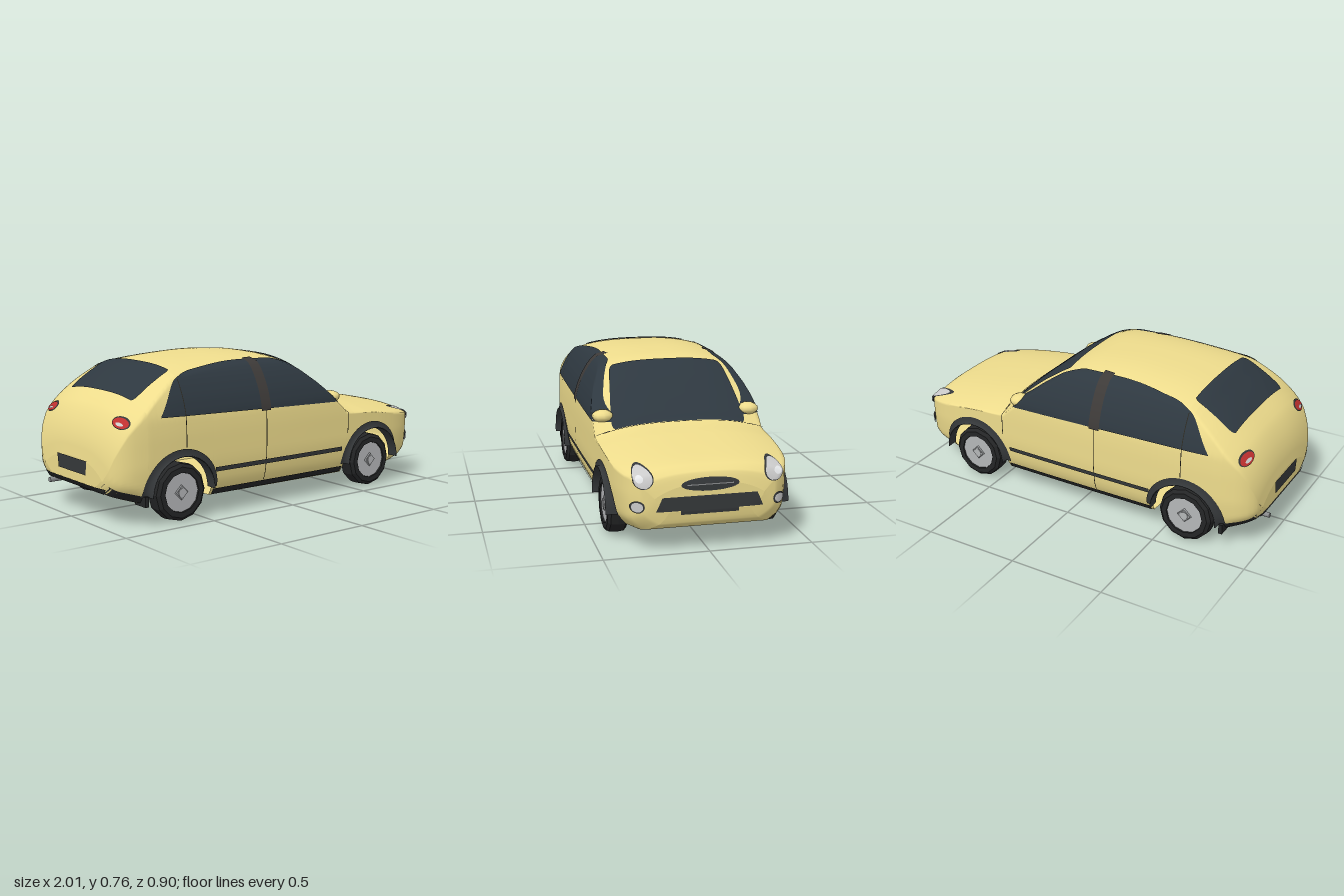
import * as THREE from 'three';

const PAINT = 0xeedc8c, GLASS = 0x2e3840, TRIM = 0x35383a, RUBBER = 0x242526, RIM = 0xb4b6b8, SEAM = 0x2a2820;
const lerp = THREE.MathUtils.lerp;

// Smooth curve through [x, y] points, without overshoot
function curve(pts) {
  const n = pts.length;
  const s = pts.slice(1).map((p, i) => (p[1] - pts[i][1]) / (p[0] - pts[i][0]));
  const m = pts.map((_, i) => i === 0 ? s[0] : i === n - 1 ? s[n - 2]
    : s[i - 1] * s[i] <= 0 ? 0 : 2 * s[i - 1] * s[i] / (s[i - 1] + s[i]));
  return (x) => {
    if (x <= pts[0][0]) return pts[0][1];
    if (x >= pts[n - 1][0]) return pts[n - 1][1];
    let i = 0;
    while (x > pts[i + 1][0]) i++;
    const h = pts[i + 1][0] - pts[i][0], t = (x - pts[i][0]) / h, t2 = t * t, t3 = t2 * t;
    return (2 * t3 - 3 * t2 + 1) * pts[i][1] + (t3 - 2 * t2 + t) * h * m[i]
      + (3 * t2 - 2 * t3) * pts[i + 1][1] + (t3 - t2) * h * m[i + 1];
  };
}

// Body shape along x: top line, underside, plan half-width, crown depth, tuck of the lower edge; tumblehome over y
const top = curve([[-0.985, 0.3], [-0.97, 0.4], [-0.95, 0.455], [-0.92, 0.515], [-0.82, 0.605], [-0.7, 0.685],
  [-0.6, 0.733], [-0.4, 0.756], [-0.2, 0.765], [0, 0.755], [0.1, 0.735], [0.2, 0.677], [0.3, 0.6], [0.4, 0.515],
  [0.44, 0.48], [0.6, 0.46], [0.8, 0.434], [0.9, 0.418], [0.96, 0.402], [0.985, 0.375], [0.997, 0.33]]);
const under = curve([[-0.985, 0.18], [-0.96, 0.15], [-0.9, 0.13], [-0.82, 0.11], [-0.6, 0.1], [0.7, 0.095],
  [0.9, 0.1], [0.96, 0.115], [0.985, 0.145], [0.997, 0.2]]);
const plan = curve([[-0.985, 0.28], [-0.975, 0.33], [-0.95, 0.37], [-0.9, 0.402], [-0.8, 0.424], [-0.6, 0.432],
  [0, 0.434], [0.5, 0.43], [0.7, 0.424], [0.82, 0.412], [0.9, 0.392], [0.95, 0.366], [0.98, 0.328], [0.997, 0.26]]);
const crown = curve([[-0.985, 0.08], [-0.9, 0.07], [-0.6, 0.04], [0, 0.035], [0.25, 0.05], [0.44, 0.055],
  [0.6, 0.05], [0.9, 0.045], [0.96, 0.04], [0.997, 0.06]]);
const tuck = curve([[-0.985, 0.25], [-0.9, 0.12], [-0.8, 0.03], [0.75, 0.03], [0.85, 0.1], [0.95, 0.15], [0.997, 0.25]]);
const tumble = curve([[0.09, 0.91], [0.14, 0.95], [0.2, 0.98], [0.3, 1], [0.4, 1], [0.5, 0.99], [0.57, 0.95],
  [0.63, 0.89], [0.69, 0.805], [0.73, 0.715], [0.765, 0.6]]);
const CROWN_POWER = 2.8;
const edgeY = (x) => top(x) - crown(x);
const edgeZ = (x) => plan(x) * tumble(edgeY(x));
const topY = (x, z) => top(x) - crown(x) * Math.pow(Math.min(1, Math.abs(z) / edgeZ(x)), CROWN_POWER);
const sideZ = (x, y) => {
  if (y > edgeY(x)) return edgeZ(x) * Math.pow(Math.max(0, (top(x) - y) / crown(x)), 1 / CROWN_POWER);
  const low = THREE.MathUtils.clamp(1 - (y - under(x)) / 0.075, 0, 1);
  return plan(x) * tumble(y) * (1 - tuck(x) * low * low);
};

// x of the nose (dir 1) or tail (dir -1) surface at a given y, z
function endX(y, z, dir) {
  let a = 0.7 * dir, b = dir > 0 ? 0.997 : -0.985;
  for (let i = 0; i < 24; i++) {
    const m = (a + b) / 2;
    if (y > under(m) && y < top(m) && Math.abs(z) < sideZ(m, y)) a = m; else b = m;
  }
  return a;
}

// Wheel openings
const AXLES = [-0.635, 0.62], AXLE_Y = 0.145, ARCH = 0.185;
const archY = (x) => Math.max(...AXLES.map((c) => Math.abs(x - c) < ARCH
  ? AXLE_Y + Math.sqrt(ARCH * ARCH - (x - c) ** 2) : 0));
const sillY = (x) => Math.max(under(x), archY(x));

const mat = (color) => new THREE.MeshStandardMaterial({ color, side: THREE.DoubleSide });

// Grid surface: fn(u, v) returns a point, u and v from 0 to 1
function sheet(name, color, nu, nv, fn) {
  const pos = [], idx = [];
  for (let i = 0; i <= nu; i++) for (let j = 0; j <= nv; j++) {
    pos.push(...fn(i / nu, j / nv));
    if (i < nu && j < nv) {
      const a = i * (nv + 1) + j, b = a + nv + 1;
      idx.push(a, b, a + 1, b, b + 1, a + 1);
    }
  }
  const g = new THREE.BufferGeometry();
  g.setAttribute('position', new THREE.Float32BufferAttribute(pos, 3));
  g.setIndex(idx);
  g.computeVertexNormals();
  return solid(name, color, g, 0, 0, 0);
}

function solid(name, color, geo, x, y, z) {
  const mesh = new THREE.Mesh(geo, mat(color));
  mesh.name = name;
  mesh.position.set(x, y, z);
  return mesh;
}

// Patches lying just off the body surface
const onSide = (name, color, s, x0, x1, lo, hi, off = 0.005, nu = 40, nv = 10) => sheet(name, color, nu, nv, (u, v) => {
  const x = lerp(x0, x1, u), y = lerp(lo(x), hi(x), v);
  return [x, y + 0.003, s * (sideZ(x, y) + off)];
});
const onTop = (name, color, x0, x1, w0, w1, round = 0.06) => sheet(name, color, 32, 24, (u, v) => {
  const x = lerp(x0, x1, u), z = lerp(-1, 1, v) * lerp(w0, w1, u) * (1 - round * Math.pow(Math.abs(2 * u - 1), 10));
  return [x + 0.002 * Math.sign(x), topY(x, z) + 0.005, z];
});
const onEnd = (name, color, dir, y0, y1, w0, w1, off = 0.005) => sheet(name, color, 24, 6, (u, v) => {
  const y = lerp(y0, y1, v), z = lerp(-1, 1, u) * lerp(w0, w1, v);
  return [endX(y, z, dir) + dir * off, y, z];
});
// Oval patch on nose or tail; tilt slants its long axis upward towards the car's centre
const ovalOnEnd = (name, color, dir, cy, cz, ry, rz, off = 0.005, tilt = 0) => sheet(name, color, 24, 6, (u, v) => {
  const a = u * Math.PI * 2, dz = Math.cos(a) * rz * v;
  const y = cy + Math.sin(a) * ry * v - dz * tilt * Math.sign(cz), z = cz + dz;
  return [endX(y, z, dir) + dir * off, y, z + Math.sign(cz) * off * 0.5];
});

// Painted shell with open wheel arches, floor and end caps
function bodyShell() {
  const g = new THREE.Group();
  g.name = 'body';
  const xs = [-0.985, -0.982, -0.978, -0.965, 0.985, 0.99, 0.994, 0.997];
  for (let i = 0; i <= 64; i++) xs.push(lerp(-0.975, 0.98, i / 64));
  for (const c of AXLES) {
    for (let i = 0; i <= 20; i++) xs.push(c + ARCH * 0.9999 * Math.cos(i * Math.PI / 20));
    xs.push(c - ARCH - 0.0005, c + ARCH + 0.0005);
  }
  xs.sort((a, b) => a - b);
  const n = xs.length - 1, at = (u) => xs[Math.round(u * n)];
  const section = (x, v) => {
    const t = v * 2 - 1, s = Math.sign(t), k = Math.abs(t);
    if (k > 0.5) {
      const y = lerp(edgeY(x), sillY(x), (k - 0.5) * 2);
      return [x, y, s * sideZ(x, y)];
    }
    const z = s * k * 2 * edgeZ(x);
    return [x, topY(x, z), z];
  };
  g.add(sheet('shell', PAINT, n, 80, (u, v) => section(at(u), v)));
  g.add(sheet('floor', PAINT, n, 2, (u, v) => {
    const x = at(u), y = under(x);
    return [x, y, (v * 2 - 1) * (archY(x) > 0 ? 0.3 : sideZ(x, y))];
  }));
  for (const [name, x] of [['tailPanel', -0.985], ['nosePanel', 0.997]]) {
    const mid = (top(x) + under(x)) / 2;
    g.add(sheet(name, PAINT, 81, 1, (u, v) => {
      const p = section(x, u * 81 > 80.5 ? 0 : u * 81 / 80);
      return [x, lerp(mid, p[1], v), p[2] * v];
    }));
  }
  return g;
}

function wheel(x, s) {
  const g = new THREE.Group();
  g.name = 'wheel';
  const profile = [[0.095, -0.05], [0.125, -0.05], [0.141, -0.036], [0.145, 0], [0.141, 0.036], [0.125, 0.05], [0.098, 0.05], [0.095, 0.03]];
  const tyre = new THREE.LatheGeometry(profile.map((p) => new THREE.Vector2(...p)), 12).toNonIndexed();
  tyre.computeVertexNormals();
  const hub = new THREE.Group();
  hub.add(solid('tyre', RUBBER, tyre, 0, 0, 0));
  hub.add(solid('rim', RIM, new THREE.CylinderGeometry(0.097, 0.097, 0.08, 12), 0, 0.002, 0));
  hub.add(solid('hubCap', 0x9a9c9e, new THREE.CylinderGeometry(0.034, 0.04, 0.008, 4), 0, 0.045, 0));
  hub.add(solid('hubCentre', RIM, new THREE.CylinderGeometry(0.022, 0.022, 0.006, 8), 0, 0.049, 0));
  hub.rotation.x = s * Math.PI / 2;
  g.add(hub);
  g.position.set(x, AXLE_Y, s * 0.378);
  return g;
}

// Raised trim round a wheel opening: inward lip, step, and a band flush with the body
function archTrim(c, s) {
  const rows = [[0.177, 0.39], [0.177, 0.45], [0.181, 0.45], [0.183, 0], [0.213, 0]];
  return sheet('archTrim', TRIM, 24, 4, (u, v) => {
    const a = u * Math.PI, [r, z] = rows[Math.round(v * 4)];
    const x = c + r * Math.cos(a), y = AXLE_Y + r * Math.sin(a);
    return [x, y, s * (z || sideZ(x, y) + 0.006)];
  });
}

export function createModel() {
  const car = new THREE.Group();
  car.name = 'car';
  car.add(bodyShell());

  // Glass across the car
  car.add(onTop('windscreen', GLASS, 0.1, 0.438, 0.295, 0.35));
  car.add(onTop('rearWindow', GLASS, -0.82, -0.6, 0.295, 0.285));
  car.add(onTop('bonnetSeam', SEAM, 0.441, 0.445, 0.39, 0.39, 0));

  const windowTop = curve([[-0.75, 0.518], [-0.62, 0.685], [-0.5, 0.715], [-0.2, 0.738], [0, 0.732], [0.1, 0.707], [0.2, 0.645], [0.3, 0.568], [0.41, 0.488]]);
  const windowBase = (x) => lerp(0.514, 0.486, (x + 0.75) / 1.16);
  const flat = (y) => () => y;
  for (const s of [1, -1]) {
    // Side glass, pillar, mouldings and door gaps
    car.add(onSide('sideWindow', GLASS, s, -0.75, 0.41, windowBase, windowTop, 0.005, 60, 16));
    car.add(onSide('doorPillar', 0x3d3a38, s, -0.155, -0.095, flat(0.49), flat(0.742), 0.008, 4, 16));
    car.add(onSide('sideMoulding', TRIM, s, -0.44, 0.4, flat(0.219), flat(0.242), 0.008, 30, 1));
    car.add(onSide('sill', RUBBER, s, -0.44, 0.42, flat(0.098), flat(0.13), 0.008, 30, 2));
    car.add(onSide('rearBumperTrim', RUBBER, s, -0.98, -0.83, (x) => under(x) - 0.002, (x) => under(x) + 0.035, 0.005, 12, 2));
    for (const [x, lo, hi] of [[-0.125, 0.13, 0.5], [-0.615, 0.36, 0.68], [0.437, 0.31, 0.45]])
      car.add(onSide('doorGap', SEAM, s, x, x + 0.004, flat(lo), flat(hi), 0.006, 1, 16));

    // Lamps
    car.add(ovalOnEnd('headlampRing', TRIM, 1, 0.36, s * 0.308, 0.046, 0.048, 0.004));
    car.add(ovalOnEnd('headlamp', 0xc0c2c4, 1, 0.36, s * 0.308, 0.042, 0.044, 0.009));
    car.add(ovalOnEnd('headlampLens', 0xe4e6e8, 1, 0.362, s * 0.322, 0.016, 0.018, 0.013));
    car.add(ovalOnEnd('fogLampRing', TRIM, 1, 0.23, s * 0.335, 0.029, 0.032, 0.004));
    car.add(ovalOnEnd('fogLamp', 0xd8dadc, 1, 0.23, s * 0.335, 0.023, 0.026, 0.008));
    car.add(ovalOnEnd('tailLampFrame', TRIM, -1, 0.497, s * 0.32, 0.026, 0.06, 0.004, 0.15));
    car.add(ovalOnEnd('tailLamp', 0xc03030, -1, 0.497, s * 0.32, 0.021, 0.053, 0.008, 0.15));
    car.add(ovalOnEnd('tailLampLens', 0xd8d8d8, -1, 0.492, s * 0.32, 0.007, 0.026, 0.012, 0.15));

    // Mirror, blunt outside and narrowing towards the door
    const mirror = solid('mirror', PAINT, new THREE.SphereGeometry(1, 10, 8), 0.36, 0.512, s * 0.378);
    mirror.scale.set(0.05, 0.032, 0.054);
    car.add(mirror);

    for (const c of AXLES) car.add(wheel(c, s), archTrim(c, s));
    car.add(solid('mudFlap', RUBBER, new THREE.BoxGeometry(0.02, 0.05, 0.09), -0.83, 0.125, s * 0.375));
  }

  // Nose: grille with bar, lower intake
  car.add(ovalOnEnd('grille', TRIM, 1, 0.325, 0, 0.032, 0.138, 0.004));
  car.add(onEnd('grilleBar', 0x8a8c8e, 1, 0.323, 0.328, 0.11, 0.11, 0.008));
  car.add(onEnd('lowerIntake', TRIM, 1, 0.272, 0.205, 0.225, 0.255, 0.003));
  car.add(onEnd('intakeTab', TRIM, 1, 0.206, 0.185, 0.138, 0.138, 0.003));

  // Tail: plate recess, bumper trim, exhaust
  car.add(onEnd('plateRecess', TRIM, -1, 0.225, 0.295, 0.13, 0.14));
  car.add(onEnd('tailBumperTrim', RUBBER, -1, 0.152, 0.182, 0.26, 0.29));
  const pipe = solid('exhaust', 0x8a8c8e, new THREE.CylinderGeometry(0.013, 0.013, 0.12, 10), -0.94, 0.145, -0.21);
  pipe.rotation.z = Math.PI / 2;
  car.add(pipe);
  return car;
}
